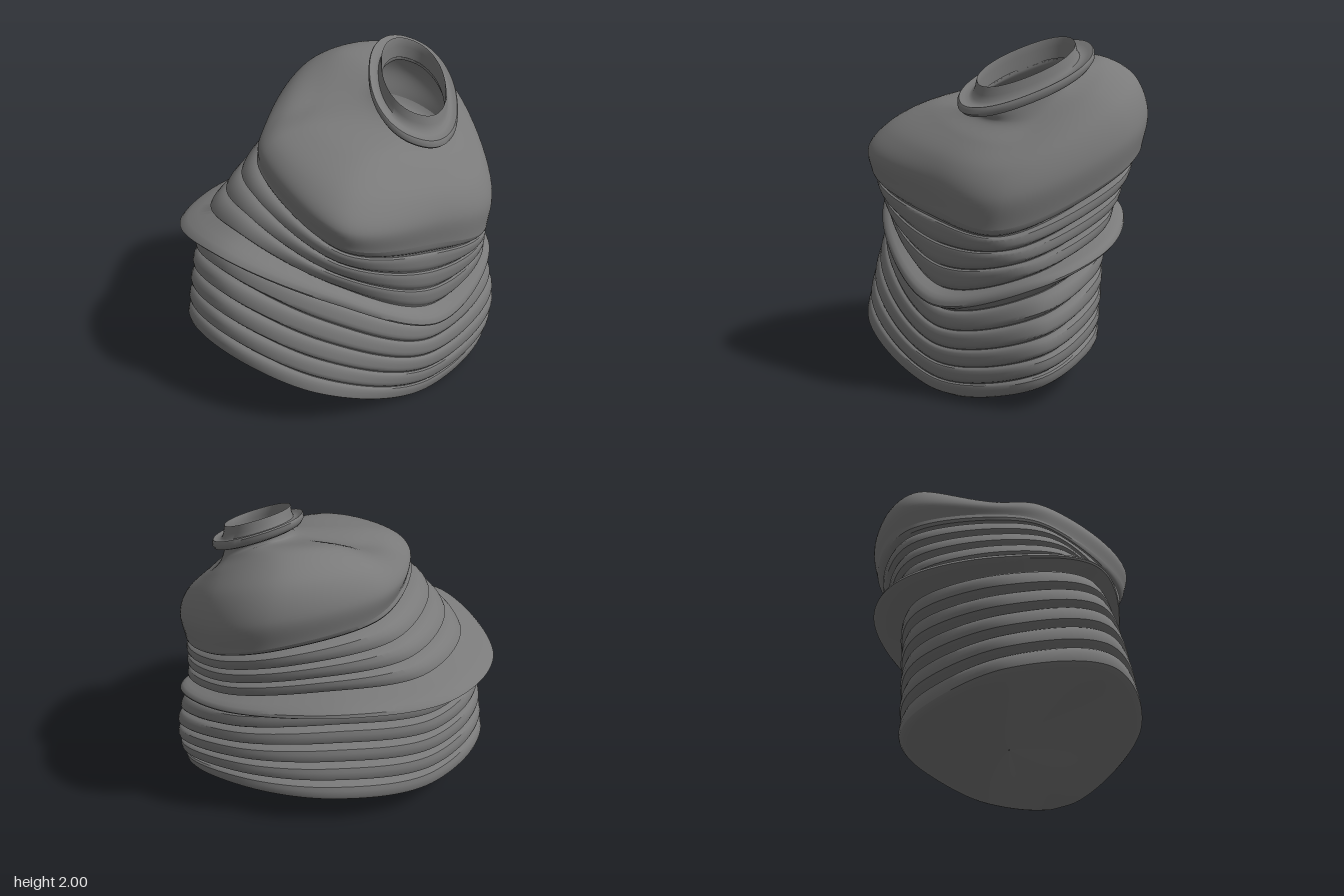
import * as THREE from 'three';
import { toCreasedNormals } from 'three/addons/utils/BufferGeometryUtils.js';

const SEG = 112;
const material = new THREE.MeshStandardMaterial({ color: 0x7a7a7a, side: THREE.DoubleSide });

// A closed smooth ring through eight points: left, front-left, front ... back-left
function ring(points) {
  const curve = new THREE.CatmullRomCurve3(points.map((p) => new THREE.Vector3(...p)), true, 'centripetal');
  return Array.from({ length: SEG }, (_, i) => curve.getPoint(i / SEG));
}

// Skin a stack of rings running from bottom to top
function loft(name, rings, crease) {
  const positions = [];
  const index = [];
  rings.forEach((r) => r.forEach((p) => positions.push(p.x, p.y, p.z)));
  for (let j = 0; j < rings.length - 1; j++) {
    for (let i = 0; i < SEG; i++) {
      const a = j * SEG + i;
      const b = j * SEG + (i + 1) % SEG;
      index.push(a, a + SEG, b, b, a + SEG, b + SEG);
    }
  }
  let geometry = new THREE.BufferGeometry();
  geometry.setAttribute('position', new THREE.Float32BufferAttribute(positions, 3));
  geometry.setIndex(index);
  if (crease) geometry = toCreasedNormals(geometry, crease);
  else geometry.computeVertexNormals();
  const mesh = new THREE.Mesh(geometry, material);
  mesh.name = name;
  return mesh;
}

// Pull a ring inwards: deep at the back and right, shallow at the front and left
function groove(r, d) {
  const c = r.reduce((s, p) => s.add(p), new THREE.Vector3()).divideScalar(SEG);
  return r.map((p) => {
    const dir = new THREE.Vector3(c.x - p.x, 0, c.z - p.z).normalize();
    return p.clone().addScaledVector(dir, d * (0.6 + 0.2 * dir.x + 0.33 * dir.z));
  });
}

const mix = (a, b, t) => a.map((p, i) => p.clone().lerp(b[i], t));

// Key rings of the body
const foot = ring([
  [0.93, 0.15, -0.06], [0.55, 0.035, 0.45], [-0.1, 0.28, 0.8], [-0.69, 0.44, 0.6],
  [-0.95, 0.32, 0.0], [-0.61, 0.24, -0.44], [0.0, 0.25, -0.59], [0.57, 0.24, -0.45]]);
const belly = ring([
  [0.97, 0.42, -0.08], [0.58, 0.29, 0.46], [-0.08, 0.56, 0.73], [-0.67, 0.75, 0.56],
  [-0.91, 0.64, 0.0], [-0.61, 0.6, -0.46], [0.02, 0.6, -0.59], [0.6, 0.54, -0.47]]);
const waist = ring([
  [0.89, 0.71, -0.06], [0.57, 0.56, 0.42], [-0.03, 0.85, 0.63], [-0.58, 1.04, 0.49],
  [-0.86, 0.96, 0.0], [-0.58, 0.95, -0.49], [0.03, 0.94, -0.6], [0.6, 0.85, -0.48]]);
const flare = ring([
  [0.93, 0.73, -0.1], [0.62, 0.55, 0.47], [-0.03, 0.84, 0.7], [-0.66, 1.03, 0.55],
  [-0.98, 0.92, -0.04], [-0.68, 0.93, -0.57], [-0.06, 0.95, -0.76], [0.66, 0.85, -0.53]]);
const shoulderEdge = ring([
  [0.88, 1.01, 0.15], [0.56, 1.09, 0.48], [0.05, 1.23, 0.77], [-0.43, 1.43, 0.28],
  [-0.45, 1.48, -0.02], [-0.22, 1.5, -0.6], [0.35, 1.42, -0.78], [0.69, 1.28, -0.58]]);
const shoulderWall = ring([
  [0.9, 1.18, 0.12], [0.58, 1.24, 0.48], [0.05, 1.35, 0.79], [-0.43, 1.52, 0.27],
  [-0.45, 1.54, -0.03], [-0.25, 1.64, -0.6], [0.35, 1.6, -0.81], [0.71, 1.45, -0.59]]);
const shoulderRound = ring([
  [0.85, 1.32, 0.08], [0.57, 1.36, 0.43], [0.07, 1.48, 0.68], [-0.36, 1.6, 0.24],
  [-0.34, 1.63, -0.06], [-0.19, 1.77, -0.55], [0.31, 1.78, -0.74], [0.67, 1.62, -0.55]]);
const shoulderTop = ring([
  [0.75, 1.45, 0.0], [0.58, 1.47, 0.28], [0.16, 1.6, 0.44], [-0.18, 1.66, 0.17],
  [-0.13, 1.69, -0.11], [-0.02, 1.86, -0.46], [0.31, 1.87, -0.57], [0.62, 1.7, -0.44]]);
const neckBase = ring([
  [0.65, 1.57, -0.08], [0.58, 1.56, 0.12], [0.42, 1.61, 0.23], [0.25, 1.68, 0.14],
  [0.19, 1.75, -0.09], [0.25, 1.83, -0.3], [0.42, 1.84, -0.42], [0.59, 1.71, -0.3]]);

// Oval neck ring on the tilted plane of the opening
function neckRing(scale, dy) {
  return Array.from({ length: SEG }, (_, i) => {
    const a = (i / SEG) * Math.PI * 2;
    const round = (v) => Math.sign(v) * Math.abs(v) ** 0.9;
    const x = 0.187 * scale * round(Math.cos(a)) + 0.02 * Math.sin(a);
    const z = 0.28 * scale * round(Math.sin(a));
    return new THREE.Vector3(0.425 + x, 1.873 + dy - 0.33 * x - 0.36 * z, -0.085 + z);
  });
}

// Body ring at rib position t: 0 foot, 5 waist, 9 shoulder edge
function bodyRing(t) {
  if (t > 5) return mix(waist, shoulderEdge, (t - 5) / 4);
  const s = t / 5;
  return foot.map((p, i) => p.clone().multiplyScalar((1 - s) * (1 - 2 * s))
    .addScaledVector(belly[i], 4 * s * (1 - s))
    .addScaledVector(waist[i], s * (2 * s - 1)));
}

// Rib profile: offset along the body, depth below the tip
const DEPTH = 0.09;
const ribProfile = [[-0.5, DEPTH], [-0.36, 0.028], [-0.27, 0.007], [-0.12, 0], [0.12, 0.004],
  [0.3, 0.015], [0.4, 0.04], [0.46, DEPTH]];

function ribRings(k) {
  const profile = k === 0 ? ribProfile.slice(2) : ribProfile;
  return profile.map(([f, d]) => {
    if (k !== 5) return groove(bodyRing(k + f), d);
    // The middle rib flares into a thin brim
    const tip = 1 - d / DEPTH;
    const base = groove(bodyRing(5 + f * (1 - 0.4 * tip)), d);
    return base.map((p, i) => p.addScaledVector(flare[i].clone().sub(waist[i]), tip));
  });
}

export function createModel() {
  const group = new THREE.Group();
  group.name = 'ribbedVase';

  // Ribbed wall
  const ribs = [];
  for (let k = 0; k < 9; k++) ribs.push(...ribRings(k));
  ribs.push(groove(bodyRing(8.55), DEPTH), groove(bodyRing(8.66), 0.03), groove(bodyRing(8.8), 0.008), shoulderEdge);
  group.add(loft('ribbedBody', ribs, 0.6));

  // Saddle-shaped underside with a rounded edge
  const rim = ribs[0];
  const centre = new THREE.Vector3(0.0, 0.17, 0.05);
  const underside = [0.995, 0.9, 0.8, 0.65, 0.5, 0.35, 0.2, 0.1, 0.05, 0.02, 0].map((t) => rim.map((p) => {
    const s = 1 - t;
    const q = centre.clone().lerp(p, s);
    q.y = centre.y + (p.y - centre.y) * s * (1.4 - 0.4 * s) - 0.1 * Math.sqrt(t) * s * s;
    q.y = Math.max(q.y, 0);
    return q;
  }));
  group.add(loft('underside', underside, 0));

  // Smooth shoulder swept up into the neck
  const keys = [shoulderEdge, shoulderWall, shoulderRound, shoulderTop, neckBase, neckRing(1.04, -0.15), neckRing(1.02, -0.12)];
  const columns = shoulderEdge.map((_, i) =>
    new THREE.CatmullRomCurve3(keys.map((r) => r[i]), false, 'centripetal').getPoints(54));
  const shoulder = Array.from({ length: 55 }, (_, j) => columns.map((c) => c[j]));
  group.add(loft('shoulder', shoulder, 0));

  // Collar with a brim and an open lip
  const collar = [[1.02, -0.13], [1.2, -0.13], [1.33, -0.12], [1.39, -0.1], [1.39, -0.075], [1.36, -0.065], [1.27, -0.073],
    [1.17, -0.08], [1.09, -0.073], [1.04, -0.045], [1.015, -0.01], [1, 0], [0.985, -0.01], [0.98, -0.05], [0.98, -0.12]];
  group.add(loft('collar', collar.map(([s, dy]) => neckRing(s, dy)), 0.8));

  return group;
}
